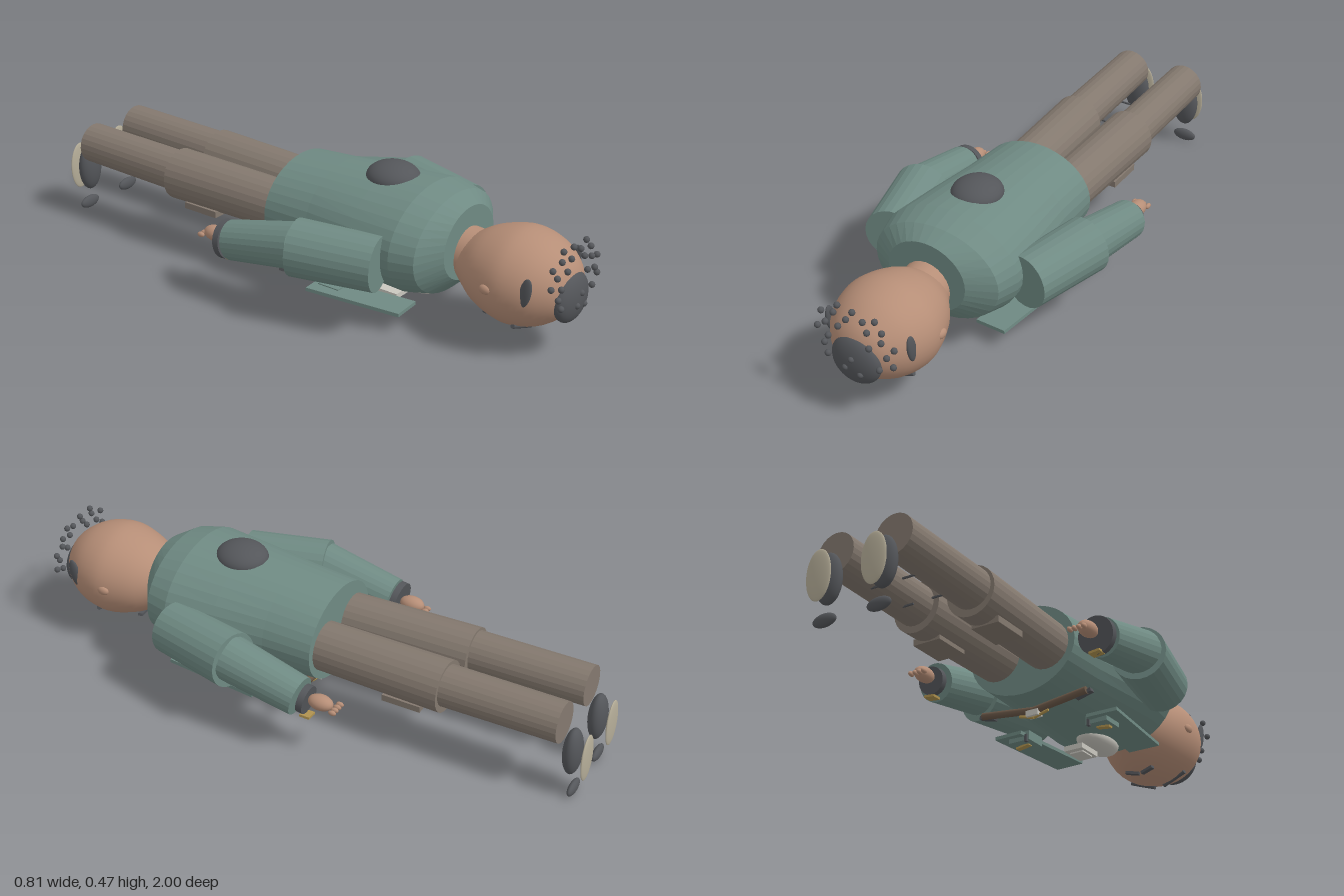
import * as THREE from 'three';

const mat = (name, color, flat = false) => {
  const m = new THREE.MeshStandardMaterial({ color, flatShading: flat });
  m.name = name;
  return m;
};

export function createModel() {
  const root = new THREE.Group();
  root.name = 'lyingFigure';
  const green = mat('jacketGreen', 0x6f8a83, true);
  const brown = mat('trouserBrown', 0x83786e, true);
  const skin = mat('skin', 0xb68e77);
  const dark = mat('charcoal', 0x54565a);
  const sole = mat('soleBeige', 0xb5ad98);
  const white = mat('offWhite', 0xc9c7bf);
  const gold = mat('gold', 0xb0934f);
  const leather = mat('beltLeather', 0x6b5848);

  const add = (name, geo, m, parent = root) => {
    const mesh = new THREE.Mesh(geo, m);
    mesh.name = name;
    parent.add(mesh);
    return mesh;
  };
  const ball = (name, m, p, r, seg = 24) => {
    const b = add(name, new THREE.SphereGeometry(1, seg, Math.ceil(seg * 0.65)), m);
    b.position.set(...p);
    b.scale.set(...r);
    return b;
  };
  const box = (name, m, p, s, rot = [0, 0, 0]) => {
    const b = add(name, new THREE.BoxGeometry(...s), m);
    b.position.set(...p);
    b.rotation.set(...rot);
    return b;
  };
  // Tapered limb between two points
  const limb = (name, m, a, b, ra, rb, seg = 24) => {
    const A = new THREE.Vector3(...a), B = new THREE.Vector3(...b);
    const dir = B.clone().sub(A);
    const c = add(name, new THREE.CylinderGeometry(rb, ra, dir.length(), seg), m);
    c.position.copy(A).add(B).multiplyScalar(0.5);
    c.quaternion.setFromUnitVectors(new THREE.Vector3(0, 1, 0), dir.normalize());
    return c;
  };

  // Torso: loft of elliptical rings along z [z, halfWidth, yBottom, yTop]
  const rings = [[-0.07, 0, 0.26, 0.26], [-0.07, 0.2, 0.103, 0.412], [0.1, 0.207, 0.098, 0.425],
    [0.28, 0.23, 0.093, 0.437], [0.45, 0.247, 0.09, 0.447], [0.53, 0.225, 0.108, 0.43],
    [0.585, 0.14, 0.16, 0.4], [0.585, 0, 0.28, 0.28]];
  const N = 36, pos = [], idx = [];
  rings.forEach(([z, w, y0, y1], k) => {
    for (let i = 0; i < N; i++) {
      const t = (i / N) * Math.PI * 2;
      pos.push(w * Math.cos(t), (y0 + y1) / 2 + ((y1 - y0) / 2) * Math.sin(t), z);
      if (k) {
        const j = (i + 1) % N, a = (k - 1) * N, b = k * N;
        idx.push(a + i, a + j, b + j, a + i, b + j, b + i);
      }
    }
  });
  const torso = new THREE.BufferGeometry();
  torso.setAttribute('position', new THREE.Float32BufferAttribute(pos, 3));
  torso.setIndex(idx);
  torso.computeVertexNormals();
  add('torso', torso, green);
  ball('backPatch', dark, [0, 0.425, 0.295], [0.083, 0.05, 0.09], 32);

  // Head and neck
  const headCurve = new THREE.SplineCurve([[0.07, 0.575], [0.098, 0.61], [0.14, 0.67], [0.168, 0.75],
    [0.17, 0.81], [0.148, 0.88], [0.1, 0.94], [0.05, 0.966], [0, 0.975]].map(p => new THREE.Vector2(...p)));
  const headGeo = new THREE.LatheGeometry(headCurve.getPoints(28).map(p => new THREE.Vector2(Math.max(0, p.x), p.y)), 40);
  headGeo.rotateX(Math.PI / 2);
  const head = add('head', headGeo, skin);
  head.scale.y = 0.91;
  head.position.y = 0.231;
  limb('neck', skin, [0, 0.25, 0.54], [0, 0.245, 0.62], 0.085, 0.085);
  ball('hairCap', dark, [0, 0.207, 0.952], [0.087, 0.082, 0.037]);

  // Scattered hair curls
  [[-0.06, 0.38], [-0.005, 0.376], [0.073, 0.37], [-0.12, 0.34], [-0.073, 0.352], [-0.025, 0.346],
    [0.033, 0.357], [0.05, 0.328], [0.098, 0.34], [-0.102, 0.31], [-0.052, 0.315], [0.098, 0.308],
    [0.14, 0.295], [-0.133, 0.285], [-0.088, 0.27], [0.06, 0.28], [0.117, 0.263], [-0.103, 0.24],
    [-0.09, 0.207], [0.138, 0.237], [0.094, 0.215], [0.005, 0.228], [-0.018, 0.193], [0.032, 0.18]]
    .forEach(([x, y]) => ball('hairCurl', dark,
      [x, y, 0.99 - 0.2 * Math.hypot(x, y - 0.207)], [0.0105, 0.0105, 0.0105], 12));

  for (const s of [-1, 1]) {
    // Face side
    ball('sideburn', dark, [s * 0.146, 0.255, 0.88], [0.009, 0.05, 0.02]).rotation.x = 0.2;
    ball('ear', skin, [s * 0.165, 0.235, 0.752], [0.012, 0.016, 0.022], 16);
    limb('brow', dark, [s * 0.018, 0.077, 0.83], [s * 0.108, 0.108, 0.82], 0.008, 0.008, 10);
    box('moustache', dark, [s * 0.03, 0.087, 0.69], [0.05, 0.01, 0.016], [0, s * 0.2, s * 0.2]);

    // Arms
    limb('upperArm', green, [s * 0.247, 0.25, 0.42], [s * 0.312, 0.254, 0.145], 0.089, 0.094);
    limb('forearm', green, [s * 0.312, 0.262, 0.16], [s * 0.32, 0.208, -0.105], 0.077, 0.066);
    limb('cuff', dark, [s * 0.318, 0.206, -0.115], [s * 0.318, 0.203, -0.137],
      s < 0 ? 0.064 : 0.048, s < 0 ? 0.064 : 0.048);
    box('cuffTrim', gold, [s * 0.317, 0.144, -0.13], [0.04, 0.008, 0.035], [0, 0, s * 0.1]);
    ball('hand', skin, [s * 0.315, 0.208, -0.178], [0.028, 0.026, 0.044], 20);
    for (let i = 0; i < 4; i++)
      ball('finger', skin, [s * (0.28 + i * 0.017), 0.195, -0.228], [0.008, 0.009, 0.014], 10);

    // Legs
    limb('thigh', brown, [s * 0.093, 0.252, -0.06], [s * 0.102, 0.255, -0.515], 0.083, 0.087);
    limb('shin', brown, [s * 0.105, 0.262, -0.5], [s * 0.107, 0.268, -0.912], 0.07, 0.068);
    box('legPocket', brown, [s * 0.11, 0.175, -0.38], [0.1, 0.022, 0.135]);
    for (const z of [-0.62, -0.77])
      box('trouserCrease', dark, [s * 0.07, 0.205, z], [0.07, 0.005, 0.006]);

    // Shoes
    ball('shoe', dark, [s * 0.1, 0.165, -0.945], [0.047, 0.085, 0.03]);
    ball('shoeSole', sole, [s * 0.1, 0.157, -0.992], [0.046, 0.085, 0.008]);
    ball('toeCap', dark, [s * 0.098, 0.025, -0.957], [0.043, 0.022, 0.013]);

    // Jacket front panel and pocket
    box('jacketPanel', green, [s * 0.165, 0.066, 0.29], [0.11, 0.012, 0.34], [0, s * -0.1, s * 0.04]);
    box('chestPocket', green, [s * 0.15, 0.06, 0.18], [0.08, 0.032, 0.08]);
    box('pocketTrim', gold, [s * 0.157, 0.04, 0.18], [0.05, 0.007, 0.02], [0, 0, s * -0.15]);
    box('pocketTab', dark, [s * 0.122, 0.05, 0.14], [0.01, 0.025, 0.012]);

    // Belt half
    limb('belt', leather, [0, 0.07, 0], [s * 0.2, 0.095, 0], 0.013, 0.013, 8);
    box('beltTip', dark, [s * 0.185, 0.088, 0.01], [0.06, 0.012, 0.02], [0, 0, s * 0.25]);
    limb('beltChain', gold, [0, 0.045, 0], [s * 0.055, 0.06, 0], 0.005, 0.005, 8);
  }

  // Centre front details
  box('buckle', white, [0, 0.058, 0], [0.045, 0.02, 0.03]);
  box('shirtPlate', white, [0, 0.025, 0.29], [0.07, 0.018, 0.1]);
  box('shirtPlateEdge', white, [0, 0.014, 0.29], [0.05, 0.006, 0.06]);
  ball('shirtFront', white, [0, 0.097, 0.4], [0.06, 0.04, 0.1]);
  return root;
}
